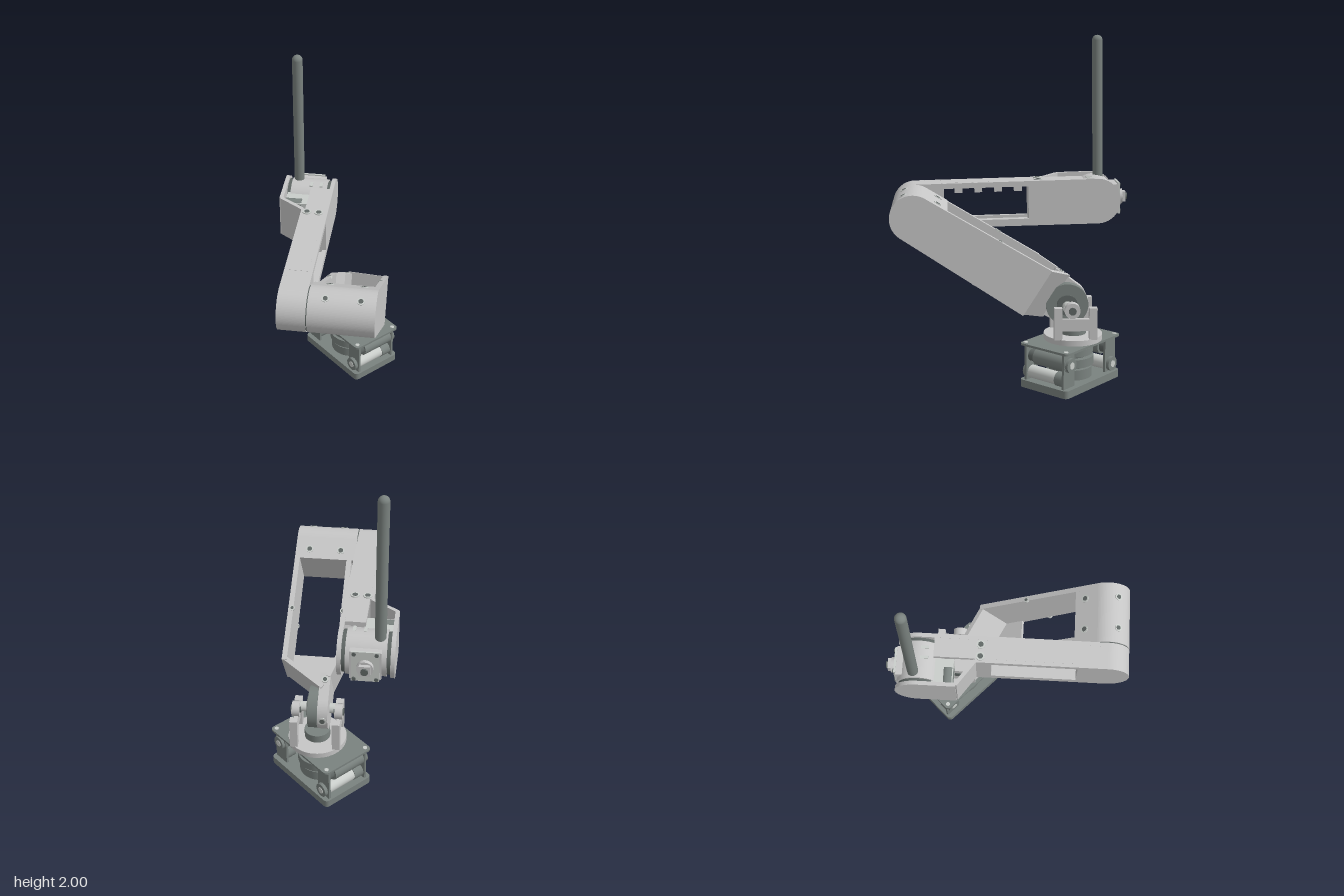
import * as THREE from 'three';

export function createModel() {
  const mat = (name, color) => {
    const m = new THREE.MeshStandardMaterial({ color });
    m.name = name;
    return m;
  };
  const light = mat('light grey', 0xc6c6c6);
  const pale = mat('pale metal', 0xc9cdca);
  const dark = mat('dark grey', 0x7a827f);
  const deep = mat('deep grey', 0x606765);

  const root = new THREE.Group();
  root.name = 'robotArm';

  const group = (parent, name, x, y, z) => {
    const g = new THREE.Group();
    g.name = name;
    g.position.set(x, y, z);
    parent.add(g);
    return g;
  };
  const add = (parent, name, geo, m, x = 0, y = 0, z = 0) => {
    const mesh = new THREE.Mesh(geo, m);
    mesh.name = name;
    mesh.position.set(x, y, z);
    parent.add(mesh);
    return mesh;
  };
  const box = (p, n, m, w, h, d, x, y, z) => add(p, n, new THREE.BoxGeometry(w, h, d), m, x, y, z);
  const cyl = (p, n, m, r, len, axis, x, y, z, seg = 32) => {
    const g = new THREE.CylinderGeometry(r, r, len, seg);
    if (axis === 'x') g.rotateZ(Math.PI / 2);
    if (axis === 'z') g.rotateX(Math.PI / 2);
    return add(p, n, g, m, x, y, z);
  };
  // side profile extruded across the arm, from z0 to z1
  const slab = (p, n, m, shape, z0, z1) =>
    add(p, n, new THREE.ExtrudeGeometry(shape, { depth: z1 - z0, bevelEnabled: false, curveSegments: 24 }), m, 0, 0, z0);
  // bar between xa and xb with half heights ra, rb; either end may be rounded
  const bar = (xa, ra, roundA, xb, rb, roundB) => {
    const s = new THREE.Shape();
    s.moveTo(xa, -ra);
    s.lineTo(xb, -rb);
    if (roundB) s.absarc(xb, 0, rb, -Math.PI / 2, Math.PI / 2, false);
    else s.lineTo(xb, rb);
    s.lineTo(xa, ra);
    if (roundA) s.absarc(xa, 0, ra, Math.PI / 2, Math.PI * 1.5, false);
    else s.lineTo(xa, -ra);
    return s;
  };
  const rect = (Ctor, x0, y0, x1, y1) => {
    const s = new Ctor();
    s.moveTo(x0, y0);
    s.lineTo(x1, y0);
    s.lineTo(x1, y1);
    s.lineTo(x0, y1);
    s.closePath();
    return s;
  };
  // upright wall between two plan points (x, z)
  const wall = (p, n, m, a, b, h, t) => {
    const dx = b[0] - a[0], dz = b[1] - a[1];
    const w = box(p, n, m, Math.hypot(dx, dz), h, t, (a[0] + b[0]) / 2, 0, (a[1] + b[1]) / 2);
    w.rotation.y = -Math.atan2(dz, dx);
    return w;
  };
  // raised ring with a dark screw in it, facing local +y
  const screw = (p, x, y, z, r = 0.02) => {
    cyl(p, 'screwSeat', pale, r, 0.012, 'y', x, y, z, 16);
    cyl(p, 'screwHole', deep, r * 0.6, 0.014, 'y', x, y, z, 16);
  };

  // Base: plates, gear drum and motors
  const base = group(root, 'base', 0.382, 0, -0.178);
  const plateShape = (hw, hd, r) => {
    const s = new THREE.Shape();
    s.absarc(hw - r, hd - r, r, 0, Math.PI / 2);
    s.absarc(-hw + r, hd - r, r, Math.PI / 2, Math.PI);
    s.absarc(-hw + r, -hd + r, r, Math.PI, Math.PI * 1.5);
    s.absarc(hw - r, -hd + r, r, Math.PI * 1.5, Math.PI * 2);
    return s;
  };
  const flat = (n, h, y, m) => {
    const g = new THREE.ExtrudeGeometry(plateShape(0.172, 0.262, 0.025), { depth: h, bevelEnabled: false });
    g.rotateX(-Math.PI / 2);
    add(base, n, g, m, 0, y, 0);
  };
  flat('footPlate', 0.045, 0, dark);
  flat('topPlate', 0.013, 0.25, dark);
  cyl(base, 'footInset', deep, 0.11, 0.004, 'y', 0, 0.001, 0, 40);
  for (const [r, y, h, m] of [[0.125, 0.075, 0.06, dark], [0.1, 0.11, 0.02, deep], [0.135, 0.145, 0.05, dark],
    [0.1, 0.175, 0.02, deep], [0.13, 0.205, 0.04, dark], [0.09, 0.24, 0.03, deep]])
    cyl(base, 'gearDrum', m, r, h, 'y', 0, y, 0, 40);
  for (const e of [1, -1]) {
    cyl(base, 'upperMotor', dark, 0.048, 0.23, 'x', 0.03 * e, 0.185, 0.2 * e);
    cyl(base, 'upperMotorCap', deep, 0.035, 0.05, 'x', -0.11 * e, 0.185, 0.2 * e);
    cyl(base, 'lowerMotor', pale, 0.038, 0.2, 'x', -0.03 * e, 0.085, 0.2 * e);
    cyl(base, 'lowerMotorCap', dark, 0.042, 0.07, 'x', 0.1 * e, 0.085, 0.2 * e);
    for (const f of [1, -1]) {
      box(base, 'endBracket', dark, 0.014, 0.205, 0.1, 0.135 * f, 0.148, 0.2 * e);
      cyl(base, 'bracketKnob', dark, 0.042, 0.02, 'x', 0.152 * f, f * e > 0 ? 0.18 : 0.09, 0.2 * e);
      cyl(base, 'knobCentre', pale, 0.02, 0.026, 'x', 0.152 * f, f * e > 0 ? 0.18 : 0.09, 0.2 * e, 16);
      cyl(base, 'plateScrew', pale, 0.013, 0.005, 'y', 0.145 * f, 0.264, 0.235 * e, 12);
    }
  }

  // Turntable: x runs along the arm, z across it
  const turn = group(root, 'turntable', 0.4, 0, -0.175);
  turn.rotation.y = -2.383;
  cyl(turn, 'turntableDisc', light, 0.17, 0.032, 'y', 0, 0.286, 0, 48);
  cyl(turn, 'turntableNeck', deep, 0.1, 0.02, 'y', 0, 0.265, 0);
  cyl(turn, 'lowerGear', dark, 0.075, 0.05, 'y', 0, 0.325, 0);
  for (const e of [1, -1]) {
    for (const f of [1, -1]) box(turn, 'bracketPost', light, 0.045, 0.185, 0.045, 0.1 * f, 0.392, 0.122 * e);
    box(turn, 'bracketCheek', light, 0.17, 0.07, 0.025, 0, 0.385, 0.125 * e);
    cyl(turn, 'shoulderBoss', light, 0.045, 0.045, 'z', 0.02, 0.47, 0.125 * e);
    cyl(turn, 'shoulderPin', deep, 0.022, 0.06, 'z', 0.02, 0.47, 0.125 * e, 16);
  }
  cyl(turn, 'shoulderAxle', pale, 0.03, 0.24, 'z', 0.04, 0.475, 0, 20);

  // Lower arm: x from shoulder to elbow
  const lower = group(turn, 'lowerArm', 0.04, 0.48, 0);
  lower.rotation.z = 0.56;
  const L = 1.027;
  cyl(lower, 'shoulderDrive', dark, 0.122, 0.055, 'z', 0, 0, -0.02, 40);
  cyl(lower, 'shoulderDriveHub', deep, 0.06, 0.07, 'z', 0, 0, -0.025);
  slab(lower, 'shoulderLobe', light, bar(0, 0.125, true, 0.16, 0.14, false), 0.01, 0.07);
  slab(lower, 'outerPlate', light, bar(0.22, 0.15, false, L, 0.13, true), -0.223, -0.193);
  slab(lower, 'innerPlate', light, bar(0.27, 0.146, false, L, 0.13, true), 0.09, 0.12);
  slab(lower, 'elbowBlock', light, bar(0.887, 0.133, false, L, 0.13, true), -0.194, 0.142);
  wall(lower, 'shoulderBend', light, [0.14, 0.055], [0.285, 0.107], 0.288, 0.028);
  wall(lower, 'endWall', light, [0.075, 0.03], [0.235, -0.21], 0.29, 0.026);
  // floor web follows the slanted end wall
  const web = new THREE.Shape();
  web.moveTo(0.1, -0.03);
  web.lineTo(0.355, -0.1);
  web.lineTo(0.355, 0.2);
  web.lineTo(0.23, 0.2);
  web.closePath();
  const webGeo = new THREE.ExtrudeGeometry(web, { depth: 0.02, bevelEnabled: false });
  webGeo.rotateX(-Math.PI / 2);
  add(lower, 'floorWeb', webGeo, light, 0, -0.145, 0);
  for (const z of [-0.2, 0.1]) {
    screw(lower, 0.55, 0.139, z, 0.016);
    screw(lower, 0.55, -0.139, z, 0.016);
  }
  for (const z of [-0.14, 0.05]) {
    screw(lower, 0.95, 0.129, z, 0.024);
    const side = group(lower, 'elbowScrew', L, 0, z);
    side.rotation.z = -1.0;
    screw(side, 0, 0.127, 0, 0.022);
  }
  screw(lower, 0.12, 0.137, 0.04, 0.02);
  const rim = group(lower, 'lobeScrew', 0, 0, 0.04);
  rim.rotation.z = 1.05;
  screw(rim, 0, 0.122, 0, 0.026);
  cyl(lower, 'elbowSeam', deep, 0.126, 0.008, 'z', L, 0, 0.145, 40);

  // Forearm: x runs back from the elbow to the wrist
  const fore = group(turn, 'forearm', 0.91, 1.024, 0);
  fore.rotation.z = -0.0225;
  const W = -1.066;
  const near = bar(W, 0.132, true, 0, 0.13, true);
  near.holes.push(rect(THREE.Path, -0.66, -0.09, -0.17, 0.1));
  slab(fore, 'nearPlate', light, near, 0.148, 0.172);
  const far = bar(-0.752, 0.131, false, 0, 0.13, true);
  far.holes.push(rect(THREE.Path, -0.66, -0.09, -0.17, 0.1));
  slab(fore, 'farPlate', light, far, 0.283, 0.307);
  slab(fore, 'elbowCore', light, bar(-0.168, 0.13, false, 0, 0.13, true), 0.171, 0.284);
  box(fore, 'topSkin', light, 0.83, 0.024, 0.115, -0.57, 0.119, 0.228);
  box(fore, 'bottomSkin', light, 0.72, 0.024, 0.115, -0.52, -0.119, 0.228);
  box(fore, 'innerBulkhead', light, 0.024, 0.22, 0.115, -0.672, 0, 0.228);
  for (let i = 0; i < 4; i++) box(fore, 'windowTab', light, 0.045, 0.035, 0.05, -0.6 + i * 0.115, 0.09, 0.185);
  for (const z of [0.2, 0.27]) {
    screw(fore, -0.722, 0.131, z, 0.026);
    screw(fore, -0.722, -0.131, z, 0.026);
  }

  // Wrist: offset far plate, barrel and rear joint
  wall(fore, 'wristBend', light, [-0.75, 0.296], [-0.853, 0.444], 0.262, 0.022);
  slab(fore, 'wristFarPlate', light, bar(W, 0.132, true, -0.85, 0.131, false), 0.434, 0.457);
  cyl(fore, 'wristBarrel', light, 0.125, 0.22, 'z', W, 0, 0.303, 48);
  cyl(fore, 'wristSeam', deep, 0.115, 0.262, 'z', W, 0, 0.303, 40);
  box(fore, 'wristServo', pale, 0.12, 0.15, 0.15, -0.93, 0.01, 0.355);
  cyl(fore, 'wristServoShaft', dark, 0.035, 0.1, 'z', -0.9, 0.06, 0.38, 20);
  box(fore, 'rearBlock', light, 0.1, 0.17, 0.17, W - 0.08, 0, 0.303);
  box(fore, 'rearPlate', pale, 0.012, 0.185, 0.15, W - 0.134, 0, 0.303);
  cyl(fore, 'rearHubFlange', light, 0.045, 0.025, 'x', W - 0.15, 0, 0.303, 24);
  box(fore, 'rearHub', light, 0.035, 0.06, 0.06, W - 0.165, 0, 0.303);
  cyl(fore, 'rearHubTip', deep, 0.02, 0.03, 'x', W - 0.178, 0, 0.303, 16);
  for (const e of [1, -1]) {
    for (const f of [1, -1]) cyl(fore, 'rearScrew', deep, 0.011, 0.008, 'x', W - 0.142, 0.078 * e, 0.303 + 0.06 * f, 12);
    box(fore, 'barrelSlot', pale, 0.045, 0.008, 0.018, W + 0.03, 0.122, 0.26 + 0.03 * e);
  }

  // Antenna-like rod on the wrist
  const a = new THREE.Vector3(0.275, 1.14, -0.571), b = new THREE.Vector3(0.263, 1.969, -0.562);
  const rod = add(root, 'uprightRod', new THREE.CapsuleGeometry(0.031, a.distanceTo(b), 8, 24), dark);
  rod.position.copy(a).lerp(b, 0.5);
  rod.quaternion.setFromUnitVectors(new THREE.Vector3(0, 1, 0), b.clone().sub(a).normalize());

  return root;
}
